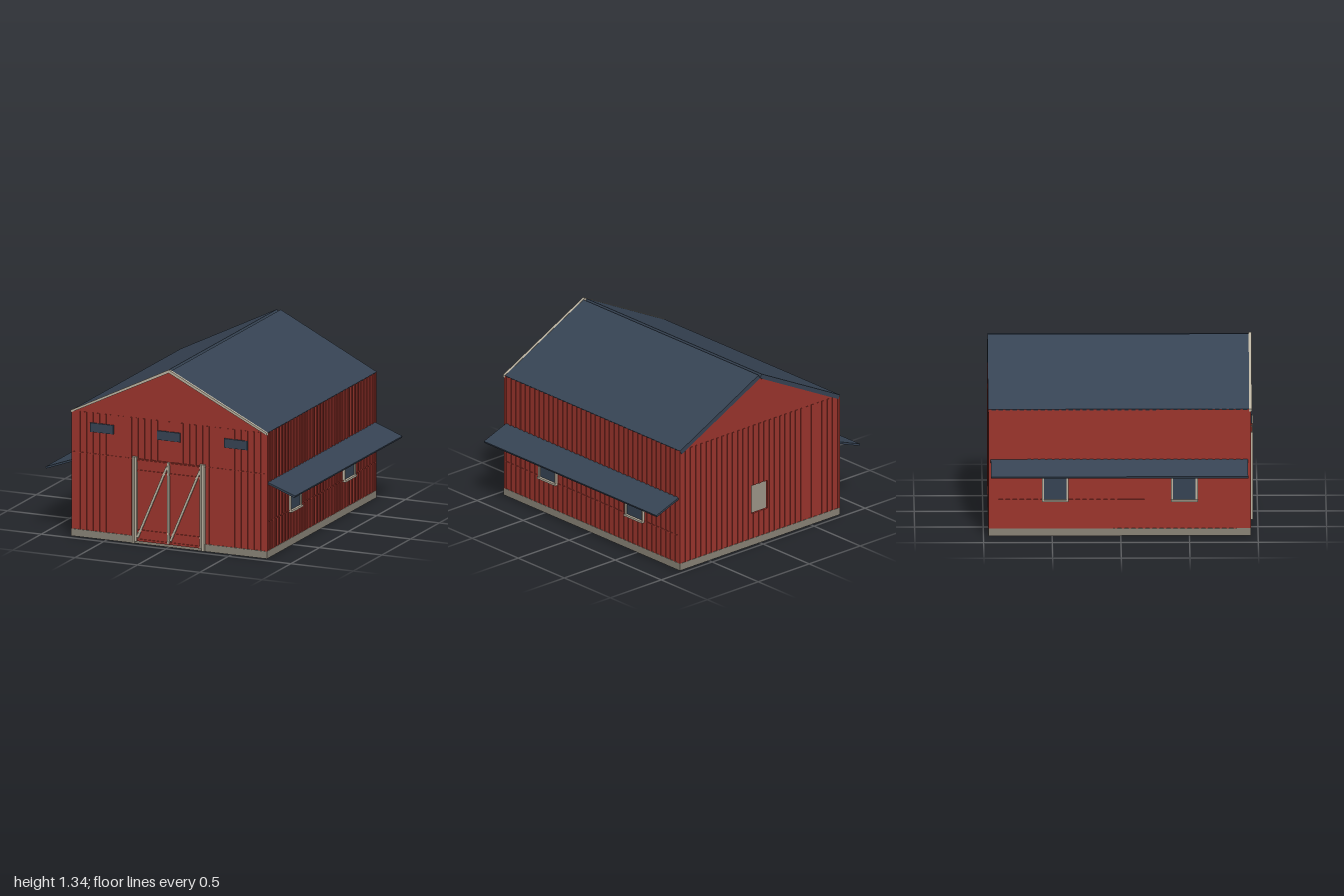
import * as THREE from 'three';

const mat = (name, color) => {
  const m = new THREE.MeshStandardMaterial({ color });
  m.name = name;
  return m;
};

export function createModel() {
  const red = mat('barn red', 0x9b342c);
  const slate = mat('slate blue', 0x364353);
  const cream = mat('cream trim', 0xbab2a0);
  const stone = mat('foundation grey', 0x888276);

  const barn = new THREE.Group();
  barn.name = 'barn';

  // box given by its limits on each axis
  const box = (parent, name, m, x0, x1, y0, y1, z0, z1) => {
    const mesh = new THREE.Mesh(new THREE.BoxGeometry(x1 - x0, y1 - y0, z1 - z0), m);
    mesh.position.set((x0 + x1) / 2, (y0 + y1) / 2, (z0 + z1) / 2);
    mesh.name = name;
    parent.add(mesh);
    return mesh;
  };
  // slanted bar between two points in the xy plane
  const bar = (parent, name, m, [x0, y0], [x1, y1], width, z0, z1) => {
    const len = Math.hypot(x1 - x0, y1 - y0);
    const mesh = box(parent, name, m, -len / 2, len / 2, -width / 2, width / 2, z0, z1);
    mesh.position.x = (x0 + x1) / 2;
    mesh.position.y = (y0 + y1) / 2;
    mesh.rotation.z = Math.atan2(y1 - y0, x1 - x0);
    return mesh;
  };

  const HALF = 0.78, EAVE = 0.945, BASE = 0.055, FRONT = 0.942, BACK = -0.96;

  // vertical siding ribs on a wall facing local +z, broken around an optional opening
  const ribs = (wall, half, hole) => {
    const count = Math.round((2 * half) / 0.052);
    const pitch = (2 * half - 0.02) / count;
    for (let i = 0; i <= count; i++) {
      const x = -half + 0.01 + i * pitch;
      const spans = hole && Math.abs(x) < hole.half + 0.01
        ? [[BASE, hole.y0], [hole.y1, EAVE]] : [[BASE, EAVE]];
      for (const [y0, y1] of spans) box(wall, 'sidingRib', red, x - 0.01, x + 0.01, y0, y1, 0, 0.005);
    }
  };

  // gable wall outline, extruded inwards from its local z = 0 face
  const gableWall = (name, apex, hole) => {
    const wall = new THREE.Group();
    wall.name = name;
    const s = new THREE.Shape();
    s.moveTo(-HALF, 0.02);
    s.lineTo(HALF, 0.02);
    s.lineTo(HALF, EAVE - 0.01);
    s.lineTo(0, apex);
    s.lineTo(-HALF, EAVE - 0.01);
    s.closePath();
    if (hole) {
      const h = new THREE.Path();
      h.moveTo(-hole.half, hole.y0);
      h.lineTo(-hole.half, hole.y1);
      h.lineTo(hole.half, hole.y1);
      h.lineTo(hole.half, hole.y0);
      h.closePath();
      s.holes.push(h);
    }
    const g = new THREE.ExtrudeGeometry(s, { depth: 0.015, bevelEnabled: false });
    g.translate(0, 0, -0.015);
    const panel = new THREE.Mesh(g, red);
    panel.name = 'gablePanel';
    wall.add(panel);
    ribs(wall, HALF + 0.004, hole);
    barn.add(wall);
    return wall;
  };

  // foundation slab, which is also the floor
  box(barn, 'foundation', stone, -0.785, 0.785, 0, BASE, -0.965, 0.949);

  // front and back walls
  const front = gableWall('frontWall', 1.315);
  front.position.z = FRONT;
  box(front, 'sidingSeam', red, -HALF, HALF, 0.632, 0.638, 0, 0.006);
  const back = gableWall('backWall', 1.297, { half: 0.08, y0: 0.25, y1: 0.47 });
  back.position.z = BACK;
  back.rotation.y = Math.PI;

  // side walls with framed windows and sloping awnings
  const mid = (FRONT + BACK) / 2, halfLen = (FRONT - BACK) / 2;
  for (const side of [1, -1]) {
    const wall = new THREE.Group();
    wall.name = side > 0 ? 'leftWall' : 'rightWall';
    wall.position.set(side * HALF, 0, mid);
    wall.rotation.y = side * Math.PI / 2;
    barn.add(wall);
    box(wall, 'sidePanel', red, -halfLen, halfLen, 0.02, EAVE, -0.015, 0);
    ribs(wall, halfLen);
    box(wall, 'sidingSeam', red, -halfLen + 0.02, halfLen - 0.02, 0.267, 0.273, 0, 0.006);
    for (const z of [0.463, -0.477]) {
      const c = -side * (z - mid);
      box(wall, 'windowPane', slate, c - 0.085, c + 0.085, 0.27, 0.535, 0, 0.009);
      for (const s of [-1, 1])
        box(wall, 'windowJamb', cream, c + s * 0.09 - 0.0075, c + s * 0.09 + 0.0075, 0.265, 0.54, 0, 0.018);
      box(wall, 'windowHead', cream, c - 0.0975, c + 0.0975, 0.53, 0.545, 0, 0.024);
      box(wall, 'windowSill', cream, c - 0.0975, c + 0.0975, 0.257, 0.272, 0, 0.028);
    }
    const awning = box(barn, 'awning', slate, -0.118, 0.118, -0.0075, 0.0075, -0.947, 0.927);
    awning.position.x = side * 0.8865;
    awning.position.y = 0.525;
    awning.rotation.z = -side * 0.35;
  }

  // roof slabs meeting at their lower edges, leaving a shallow notch along the ridge
  const slope = Math.atan2(0.383, 0.77), thick = 0.033;
  for (const side of [1, -1]) {
    const len = 0.77 / Math.cos(slope);
    const roof = box(barn, 'roofSlab', slate, -len / 2, len / 2, -thick / 2, thick / 2, -0.967, 0.936);
    const cx = 0.385 + Math.sin(slope) * thick / 2;
    roof.position.x = side * cx;
    roof.position.y = 1.3 - 0.383 / 2 + Math.cos(slope) * thick / 2;
    roof.rotation.z = -side * slope;

    // rake trim along the front gable
    const s = new THREE.Shape();
    s.moveTo(0, 1.314);
    s.lineTo(side * 0.786, 0.93);
    s.lineTo(side * 0.786, 0.948);
    s.lineTo(0, 1.338);
    s.closePath();
    const trim = new THREE.Mesh(new THREE.ExtrudeGeometry(s, { depth: 0.02, bevelEnabled: false }), cream);
    trim.position.z = 0.935;
    trim.name = 'rakeTrim';
    barn.add(trim);
  }

  // three vents above the entrance
  for (const x of [-0.537, 0, 0.537])
    box(barn, 'ventPanel', slate, x - 0.0925, x + 0.0925, 0.802, 0.87, 0.942, 0.956);

  // double door: slab, rails, posts and diagonal braces
  const door = new THREE.Group();
  door.name = 'doubleDoor';
  barn.add(door);
  box(door, 'doorSlab', red, -0.265, 0.27, 0.02, 0.64, 0.94, 0.953);
  for (const y of [0.03, 0.1, 0.55, 0.627])
    box(door, 'doorRail', red, -0.275, 0.27, y - 0.008, y + 0.008, 0.95, 0.96);
  for (const [x0, x1] of [[-0.29, -0.272], [-0.268, -0.252], [0.252, 0.264], [0.268, 0.29]])
    box(door, 'doorPost', cream, x0, x1, Math.abs(x0 + x1) > 0.54 ? 0.003 : 0.02, 0.655, 0.945, 0.967);
  box(door, 'centrePost', cream, -0.008, 0.008, 0.03, 0.64, 0.945, 0.965);
  bar(door, 'diagonalBrace', cream, [-0.248, 0.05], [-0.012, 0.605], 0.017, 0.95, 0.963);
  bar(door, 'diagonalBrace', cream, [0.016, 0.05], [0.252, 0.605], 0.017, 0.95, 0.963);

  return barn;
}
